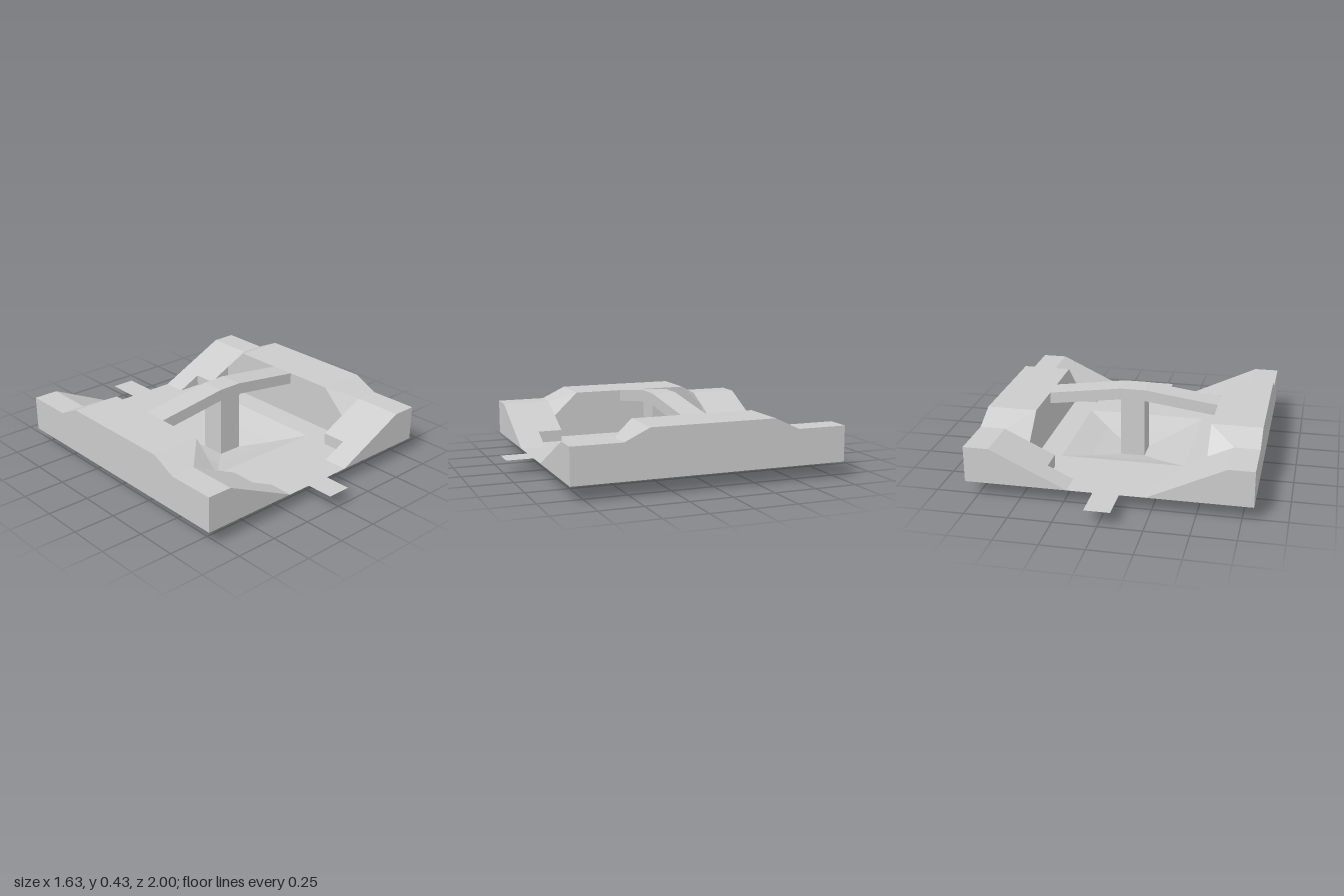
import * as THREE from 'three';

const material = new THREE.MeshStandardMaterial({ color: 0xcccccc, flatShading: true, side: THREE.DoubleSide });

// Grid lines shared by x and z, from the centre outwards
const G = [0, 0.074, 0.222, 0.37, 0.518, 0.666, 0.814];
const BASE = 0.09;
// Number of floor cells across x for each row of cells along z (stepped corners)
const FLOOR_CELLS = [4, 4, 4, 4, 3, 2];

// Height rules at grid point (i, j)
const bowlHeight = (i, j) => [0, 0, 0.04, BASE][Math.min(3, Math.max(i, j))];
const rampHeight = (i) => BASE + 0.21 * THREE.MathUtils.clamp((G[i] - G[2]) / (G[5] - G[2]), 0, 1);
const deckHeight = (i, j) => (j <= 3 ? 0.37 : rampHeight(i));

// Mesh from the quads of one quarter, mirrored into all four
function mirroredMesh(name, quads) {
  const pos = [];
  for (const sx of [1, -1]) for (const sz of [1, -1]) {
    for (const q of quads) {
      const [a, b, c, d] = sx * sz > 0 ? q : [q[0], q[3], q[2], q[1]];
      for (const p of [a, b, c, a, c, d]) pos.push(p[0] * sx, p[1], p[2] * sz);
    }
  }
  const geo = new THREE.BufferGeometry();
  geo.setAttribute('position', new THREE.Float32BufferAttribute(pos, 3));
  geo.computeVertexNormals();
  const mesh = new THREE.Mesh(geo, material);
  mesh.name = name;
  return mesh;
}

// Grid cell surface following a height rule
const cell = (i, j, h) =>
  [[i, j], [i, j + 1], [i + 1, j + 1], [i + 1, j]].map(([u, v]) => [G[u], h(u, v), G[v]]);

// Upright walls along a path of grid points, from the base up to the deck
function walls(path) {
  return path.slice(1).map(([i1, j1], k) => {
    const [i0, j0] = path[k];
    return [
      [G[i0], BASE, G[j0]], [G[i1], BASE, G[j1]],
      [G[i1], deckHeight(i1, j1), G[j1]], [G[i0], deckHeight(i0, j0), G[j0]],
    ];
  });
}

export function createModel() {
  const model = new THREE.Group();
  model.name = 'model';

  // Sunken floor (open under the post) and raised deck with ramps
  const floor = [], deck = [];
  for (let j = 0; j < 6; j++) for (let i = 0; i < 6; i++) {
    if (i >= FLOOR_CELLS[j]) deck.push(cell(i, j, deckHeight));
    else if (i + j > 0) floor.push(cell(i, j, bowlHeight));
  }
  model.add(mirroredMesh('floor', floor), mirroredMesh('deck', deck));

  // Stepped inner walls and straight outer walls; the underside stays open
  model.add(mirroredMesh('innerWalls', walls(
    [[4, 0], [4, 1], [4, 2], [4, 3], [4, 4], [3, 4], [3, 5], [2, 5]])));
  model.add(mirroredMesh('outerWalls', walls(
    [[2, 6], [3, 6], [4, 6], [5, 6], [6, 6], [6, 5], [6, 4], [6, 3], [6, 0]])));

  // Hollow centre post
  const w = G[1], top = 0.36;
  model.add(mirroredMesh('post', [
    [[0, 0, w], [w, 0, w], [w, top, w], [0, top, w]],
    [[w, 0, w], [w, 0, 0], [w, top, 0], [w, top, w]],
  ]));

  // Bridge arching across the opening
  const shape = new THREE.Shape([
    [-G[4], 0.3], [-w, 0.36], [w, 0.36], [G[4], 0.3],
    [G[4], 0.37], [w, 0.43], [-w, 0.43], [-G[4], 0.37],
  ].map(([x, y]) => new THREE.Vector2(x, y)));
  const bridgeGeo = new THREE.ExtrudeGeometry(shape, { depth: 2 * w, bevelEnabled: false });
  const bridge = new THREE.Mesh(bridgeGeo.translate(0, 0, -w), material);
  bridge.name = 'bridge';
  model.add(bridge);

  // Flat end tabs
  for (const [name, z0, z1] of [['frontTab', G[6], 0.975], ['backTab', -1.025, -G[6]]]) {
    const tab = new THREE.Mesh(new THREE.PlaneGeometry(2 * w, z1 - z0).rotateX(-Math.PI / 2), material);
    tab.position.set(0, BASE, (z0 + z1) / 2);
    tab.name = name;
    model.add(tab);
  }

  // Centre the uneven tabs on z = 0
  model.position.z = 0.025;
  const root = new THREE.Group();
  root.add(model);
  return root;
}
